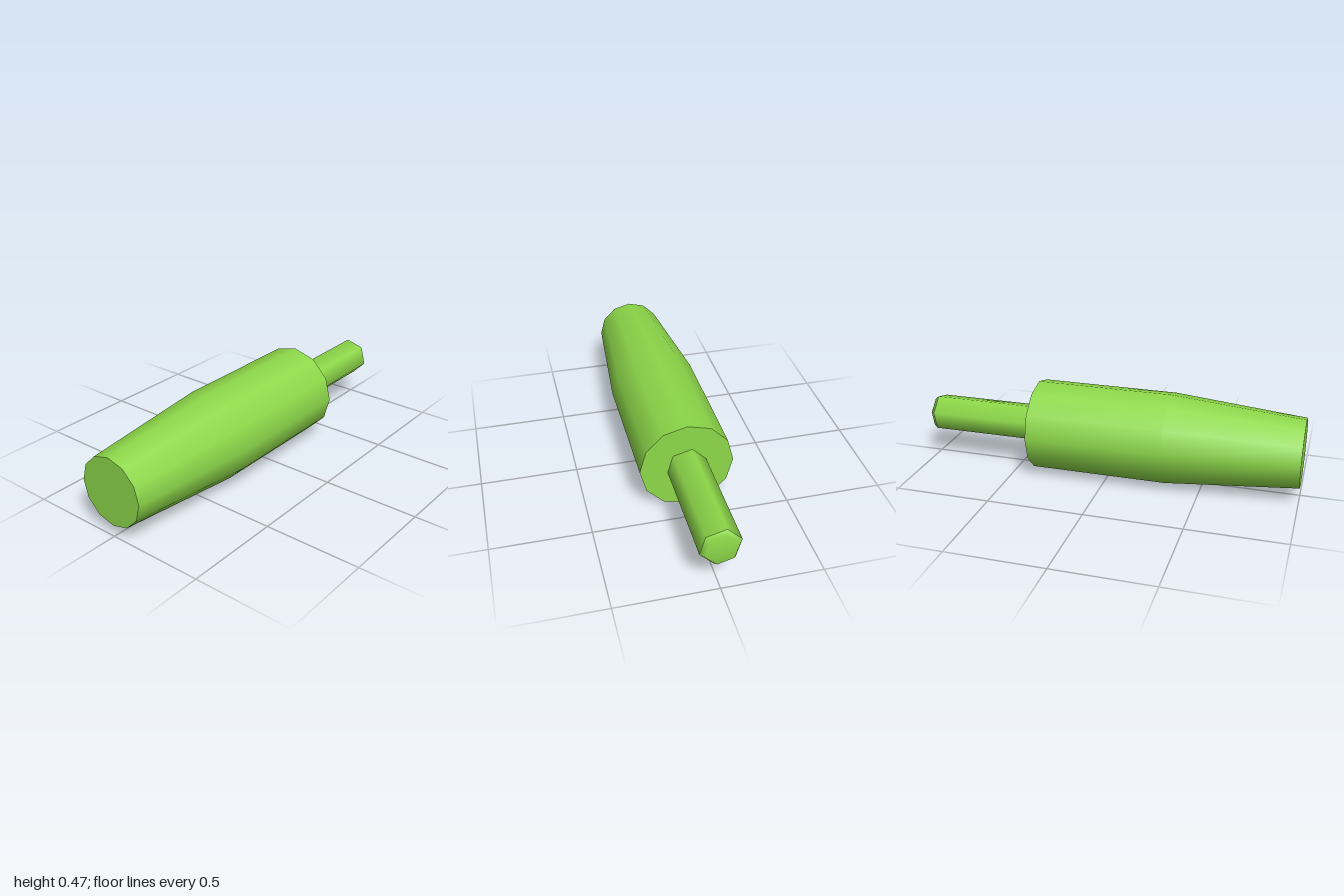
import * as THREE from 'three';

const AXIS_Y = 0.2375;

export function createModel() {
  const model = new THREE.Group();
  const green = new THREE.MeshStandardMaterial({ color: 0x8ed94a });
  green.name = 'lime green';

  // Revolves [x, radius] points about the long axis; each call is one smooth surface
  function turned(name, points, sides, start = 0) {
    const profile = points.map(([x, r]) => new THREE.Vector2(r, x));
    const mesh = new THREE.Mesh(new THREE.LatheGeometry(profile, sides, start), green);
    mesh.rotation.z = -Math.PI / 2;
    mesh.position.y = AXIS_Y;
    mesh.name = name;
    model.add(mesh);
  }

  // Twelve-sided handle, tapering towards its butt, with flat ends
  turned('handleSide', [[-1, 0.178], [-0.32, 0.237], [0.395, 0.237]], 12);
  turned('handleButt', [[-1, 0], [-1, 0.178]], 12);
  turned('handleShoulder', [[0.395, 0.237], [0.395, 0]], 12);

  // Six-sided pin with a softly shaded, bevelled tip
  const turn = Math.PI / 12;
  turned('pinShaft', [[0.39, 0.101], [0.978, 0.101]], 6, turn);
  turned('pinTip', [[0.978, 0.101], [1, 0.083], [1, 0]], 6, turn);

  return model;
}
